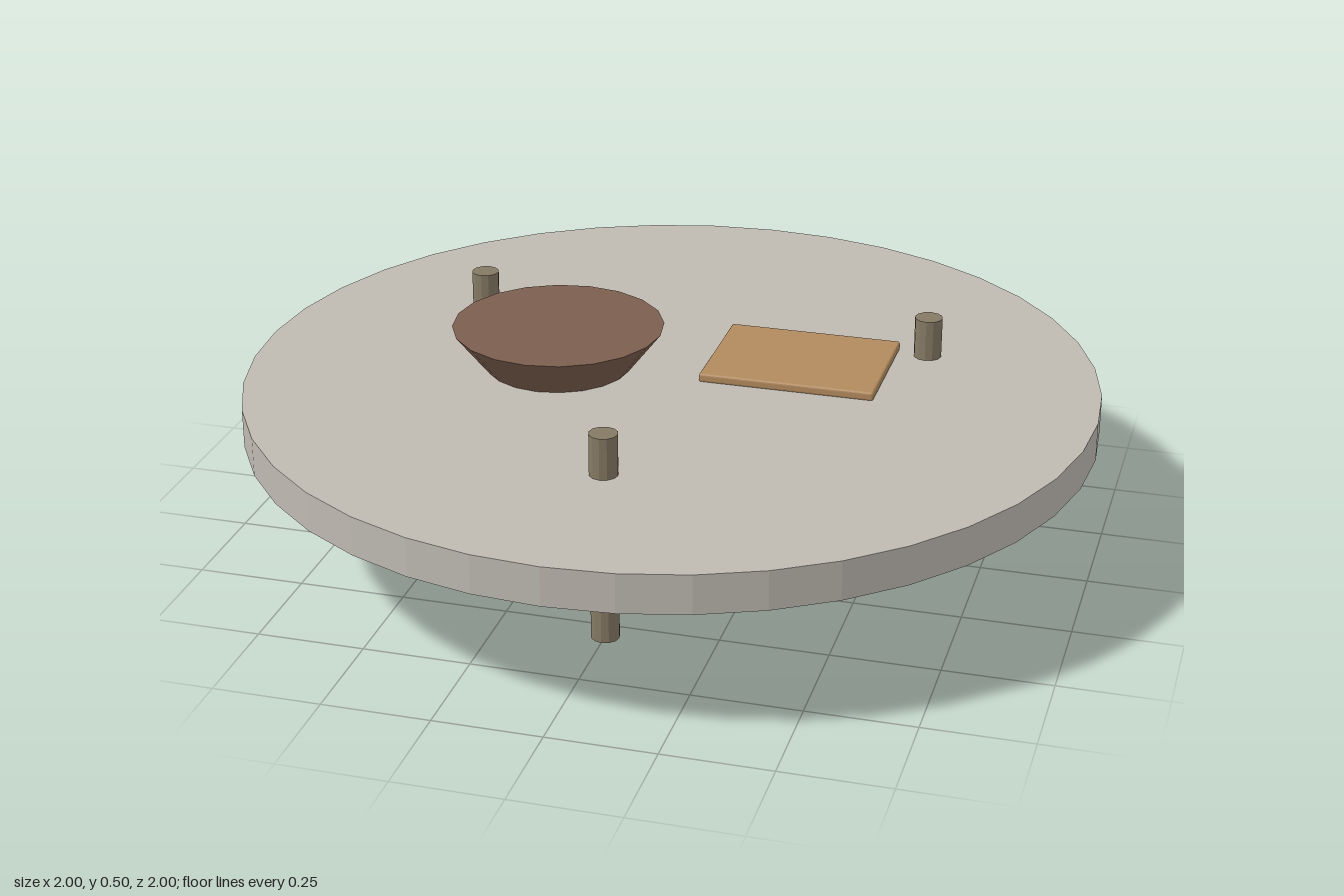
import * as THREE from 'three';
import { RoundedBoxGeometry } from 'three/addons/geometries/RoundedBoxGeometry.js';

const paint = (name, color) => {
  const m = new THREE.MeshStandardMaterial({ color, flatShading: true });
  m.name = name;
  return m;
};

export function createModel() {
  const model = new THREE.Group();
  model.name = 'roundTable';

  const stone = paint('paleStone', 0xbfbab2);
  const post = paint('weatheredWood', 0x857a64);
  const clay = paint('brownClay', 0x7c5e4e);
  const wood = paint('lightWood', 0xb28a5e);

  const add = (name, geometry, material, x, y, z) => {
    const mesh = new THREE.Mesh(geometry, material);
    mesh.name = name;
    mesh.position.set(x, y, z);
    model.add(mesh);
  };

  // Thick round top
  add('tableTop', new THREE.CylinderGeometry(1, 1, 0.092, 40), stone, 0, 0.356, 0);

  // Three posts that run through the top
  const legShape = new THREE.CylinderGeometry(0.033, 0.033, 0.5, 12);
  const legs = { frontLeg: [0, 0.55], leftLeg: [0.555, -0.28], rightLeg: [-0.555, -0.28] };
  for (const [name, [x, z]] of Object.entries(legs)) add(name, legShape, post, x, 0.25, z);

  // Tapered bowl with a flat filled top
  add('bowl', new THREE.CylinderGeometry(0.25, 0.172, 0.1, 20), clay, -0.277, 0.451, 0);

  // Thin board with softened edges
  add('board', new RoundedBoxGeometry(0.415, 0.022, 0.318, 2, 0.006), wood, 0.277, 0.411, -0.143);

  return model;
}
